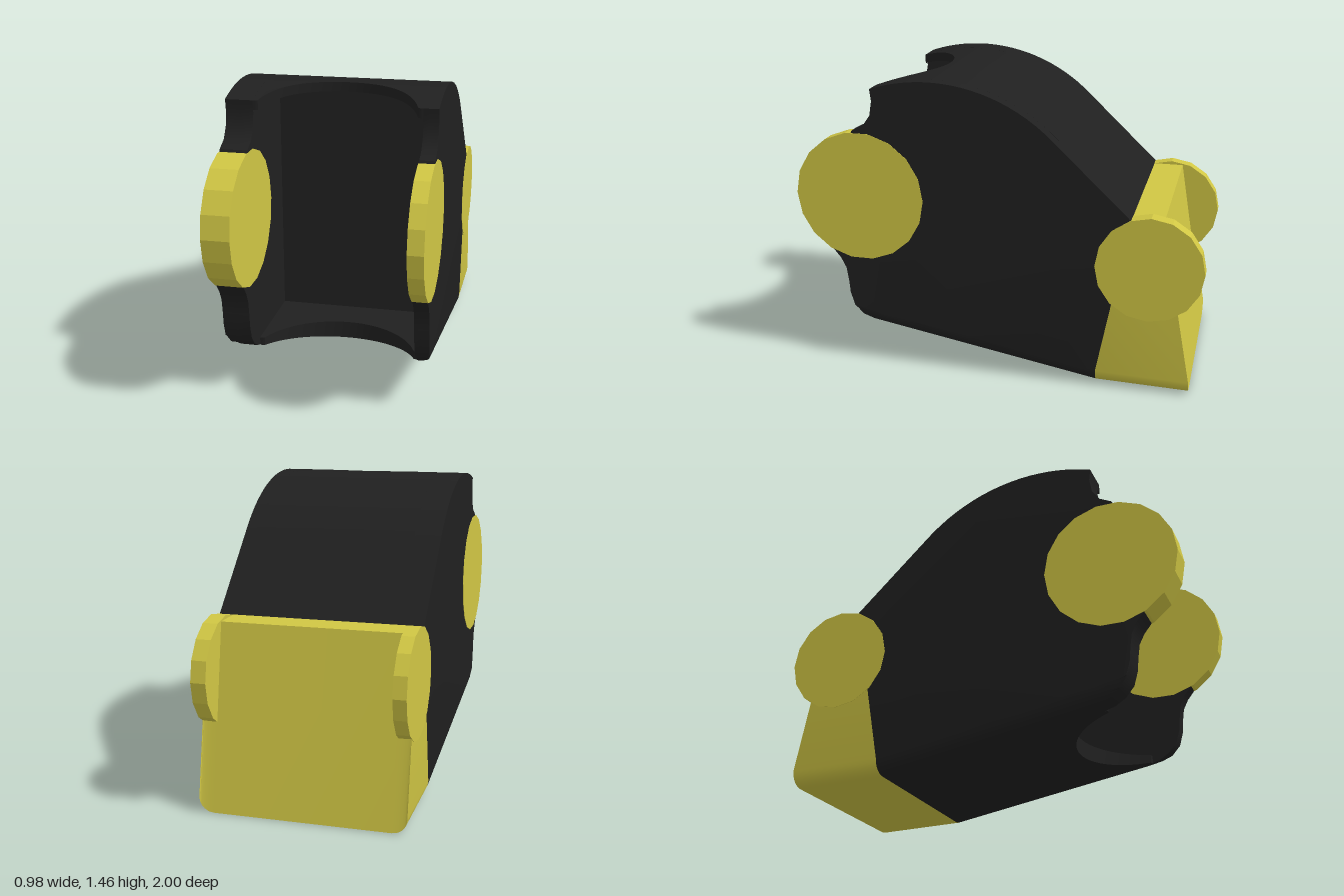
import * as THREE from 'three';
import { toCreasedNormals } from 'three/addons/utils/BufferGeometryUtils.js';

const HALF = 0.49, INNER_R = -0.36, INNER_L = 0.42, POCKET_Z = 0.15;

// Height of the hood: an arc running into a straight slope
const topY = (z) => z > -0.29
  ? 0.608 + Math.sqrt(0.734 - (z - 0.32) ** 2)
  : 1.21 + (z + 0.29) * 0.95;
// Height of the underside
const bottomY = (z) => 0.01 + (z + 0.5) * (z > -0.5 ? 0.173 : 0.02);

// Rounding of the lower long edges near the outer sides
const ROUND = 0.07;
function lift(x) {
  const d = Math.min(ROUND, HALF - Math.abs(x));
  return ROUND - Math.sqrt(Math.max(0, ROUND ** 2 - (ROUND - d) ** 2));
}
const rounded = (ring) => (x) => ring.map(([z, y]) => [z, Math.max(y, bottomY(z) + lift(x))]);

const range = (a, b, n) => Array.from({ length: n + 1 }, (_, i) => a + (b - a) * i / n);

// Closed solid from [z, y] rings placed along x
function loft(xs, ringAt) {
  const rings = xs.map((x) => {
    const r = ringAt(x).map(([z, y]) => new THREE.Vector2(-z, y));
    return THREE.ShapeUtils.area(r) < 0 ? r.reverse() : r;
  });
  const n = rings[0].length, pos = [];
  const put = (s, i) => pos.push(xs[s], rings[s][i].y, -rings[s][i].x);
  for (let s = 0; s < xs.length - 1; s++) {
    for (let i = 0; i < n; i++) {
      const j = (i + 1) % n;
      put(s, i); put(s, j); put(s + 1, i);
      put(s, j); put(s + 1, j); put(s + 1, i);
    }
  }
  const last = xs.length - 1;
  for (const [a, b, c] of THREE.ShapeUtils.triangulateShape(rings[0], [])) {
    put(0, a); put(0, c); put(0, b);
  }
  for (const [a, b, c] of THREE.ShapeUtils.triangulateShape(rings[last], [])) {
    put(last, a); put(last, b); put(last, c);
  }
  const g = new THREE.BufferGeometry();
  g.setAttribute('position', new THREE.Float32BufferAttribute(pos, 3));
  return toCreasedNormals(g, 0.6);
}

export function createModel() {
  const model = new THREE.Group();
  const black = new THREE.MeshStandardMaterial({ color: 0x202020 });
  const yellow = new THREE.MeshStandardMaterial({ color: 0xd0c644 });
  const yellowFlat = new THREE.MeshStandardMaterial({ color: 0xd0c644, flatShading: true });

  function add(name, geometry, material) {
    const mesh = new THREE.Mesh(geometry, material);
    mesh.name = name;
    model.add(mesh);
    return mesh;
  }

  // Profile shared by the cheeks and the core
  const hood = (z0) => range(-0.65, z0, 28).map((z) => [z, topY(z)]);
  const under = (z0) => range(z0, -0.5, 6).map((z) => [z, bottomY(z)]);

  // Side cheeks with scooped fronts above and below the discs
  const cheekRing = [
    ...hood(0.6),
    [0.593, 1.36], [0.605, 1.29], [0.64, 1.24], [0.7, 1.21], [0.78, 1.0], [0.83, 0.6],
    [0.79, 0.55], [0.765, 0.5], [0.755, 0.43], [0.75, 0.37], [0.73, 0.3], [0.69, 0.25], [0.64, 0.217],
    ...under(0.58),
  ];
  const edge = [0, 0.004, 0.012, 0.025, 0.045, 0.07];
  add('leftCheek', loft([INNER_L, ...edge.slice(0, 5).reverse().map((d) => HALF - d)], rounded(cheekRing)), black);
  add('rightCheek', loft([...edge.map((d) => d - HALF), INNER_R], rounded(cheekRing)), black);

  // Solid core behind the front pocket
  const coreRing = [...hood(POCKET_Z), ...under(POCKET_Z)];
  add('core', loft([INNER_R, INNER_L], () => coreRing), black);

  // Roof and floor of the pocket, both cut by a round notch
  const notchZ = (x) => Math.min(0.6, 0.73 - Math.sqrt(Math.max(0, 0.39 ** 2 - (x - 0.03) ** 2)));
  const notchXs = range(0, Math.PI, 36).map((a) => 0.03 - 0.39 * Math.cos(a));
  const plate = (upper, lower) => loft(notchXs, (x) => {
    const zs = range(POCKET_Z, notchZ(x), 8);
    return [...zs.map((z) => [z, upper(z)]), ...zs.reverse().map((z) => [z, lower(z)])];
  });
  add('pocketRoof', plate(topY, (z) => topY(z) - 0.045), black);
  add('pocketFloor', plate(() => 0.24, bottomY), black);

  // Tapered rear block
  const blockRing = [[-0.5, bottomY(-0.5)], [-0.65, 0.87], [-0.8, 0.87], [-0.95, bottomY(-0.95)]];
  const blockXs = [...edge.map((d) => d - HALF), ...edge.map((d) => HALF - d).reverse()];
  add('rearBlock', loft(blockXs, rounded(blockRing)), yellow);

  // Faceted discs, front and rear, on both sides
  function disc(name, x0, x1, y, z, radius, sides) {
    const g = new THREE.CylinderGeometry(radius, radius, x1 - x0, sides);
    g.rotateZ(Math.PI / 2);
    add(name, g, yellowFlat).position.set((x0 + x1) / 2, y, z);
  }
  const e = 0.002;
  disc('leftFrontDisc', INNER_L - e, HALF + e, 0.88, 0.677, 0.323, 18);
  disc('rightFrontDisc', -HALF - e, INNER_R + e, 0.88, 0.677, 0.323, 18);
  disc('leftRearDisc', 0.42, HALF + e, 0.63, -0.742, 0.258, 16);
  disc('rightRearDisc', -HALF - e, -0.43, 0.63, -0.742, 0.258, 16);

  return model;
}
